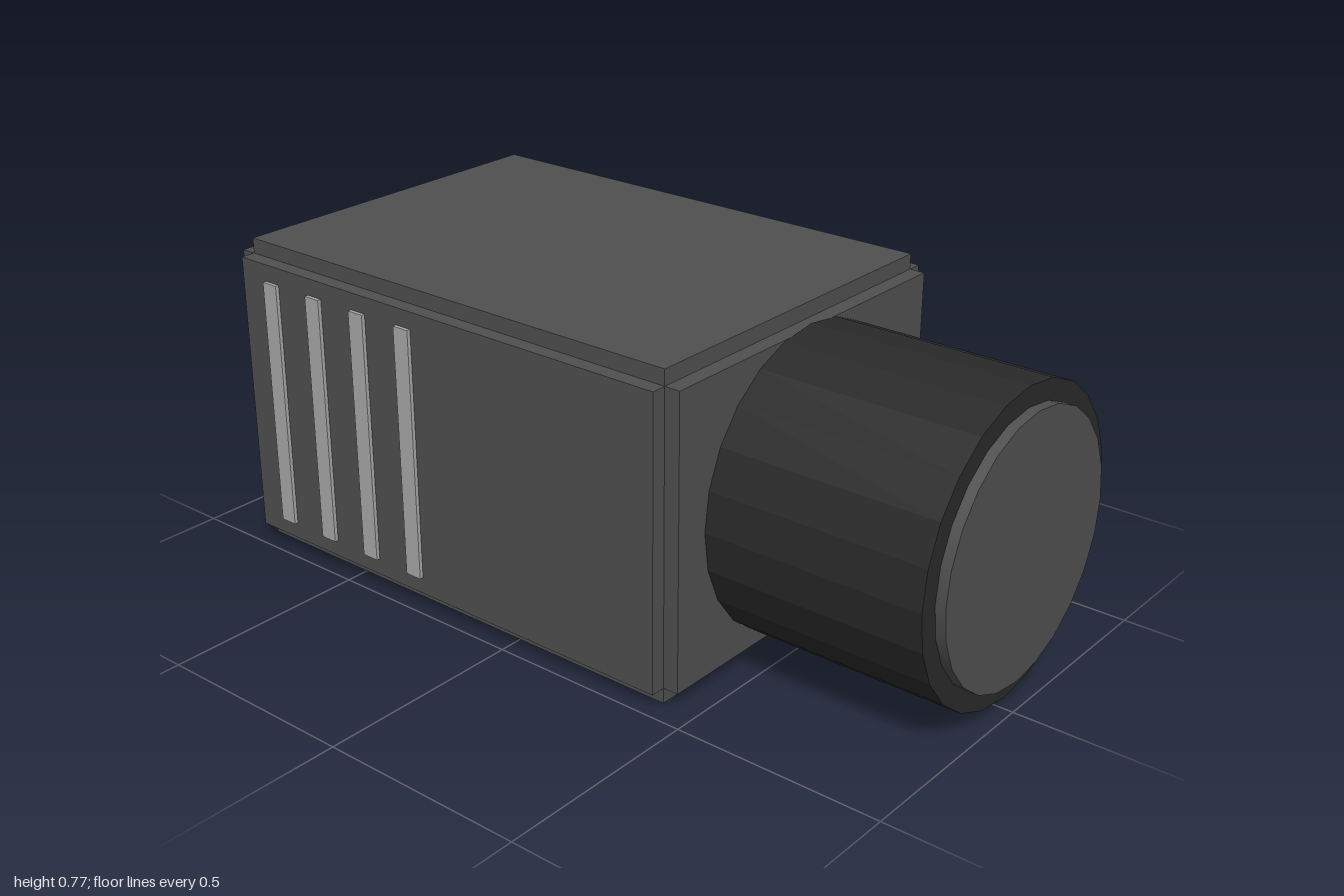
import * as THREE from 'three';

export function createModel() {
  const model = new THREE.Group();
  const mat = (name, color, flatShading = false) => {
    const m = new THREE.MeshStandardMaterial({ color, flatShading });
    m.name = name;
    return m;
  };
  const bodyGrey = mat('body grey', 0x505050);
  const lensBlack = mat('lens black', 0x2a2a2a, true);
  const ventGrey = mat('vent grey', 0xaaaaaa);
  const plugGrey = mat('connector grey', 0xc8c8c4);

  const add = (name, geometry, material, x, y, z) => {
    const mesh = new THREE.Mesh(geometry, material);
    mesh.name = name;
    mesh.position.set(x, y, z);
    model.add(mesh);
    return mesh;
  };
  const box = (name, material, [w, h, d], x, y, z = 0) =>
    add(name, new THREE.BoxGeometry(w, h, d), material, x, y, z);

  const midY = 0.383, bodyX = -0.204;

  // Body: three crossed boxes leave stepped edges all around
  box('bodyLengthwise', bodyGrey, [1.312, 0.692, 0.884], bodyX, midY);
  box('bodyUpright', bodyGrey, [1.236, 0.766, 0.884], bodyX, midY);
  box('bodyCrosswise', bodyGrey, [1.236, 0.692, 0.956], bodyX, midY);

  // Vent strips on both broad sides
  for (const side of [-1, 1]) {
    for (let i = 0; i < 4; i++) {
      box('ventStrip', ventGrey, [0.044, 0.61, 0.009], -0.72 + i * 0.1435, midY, side * 0.4825);
    }
  }

  // Lens barrel and the glass disc at its end
  const drum = (name, material, radius, x0, x1) => {
    const mesh = add(name, new THREE.CylinderGeometry(radius, radius, x1 - x0, 24),
      material, (x0 + x1) / 2, midY, 0);
    mesh.rotation.z = -Math.PI / 2;
  };
  drum('lensBarrel', lensBlack, 0.356, 0.452, 0.976);
  drum('lensGlass', bodyGrey, 0.309, 0.976, 1);

  // Connector on the rear end
  box('connector', plugGrey, [0.14, 0.098, 0.383], -0.93, 0.232);

  return model;
}
